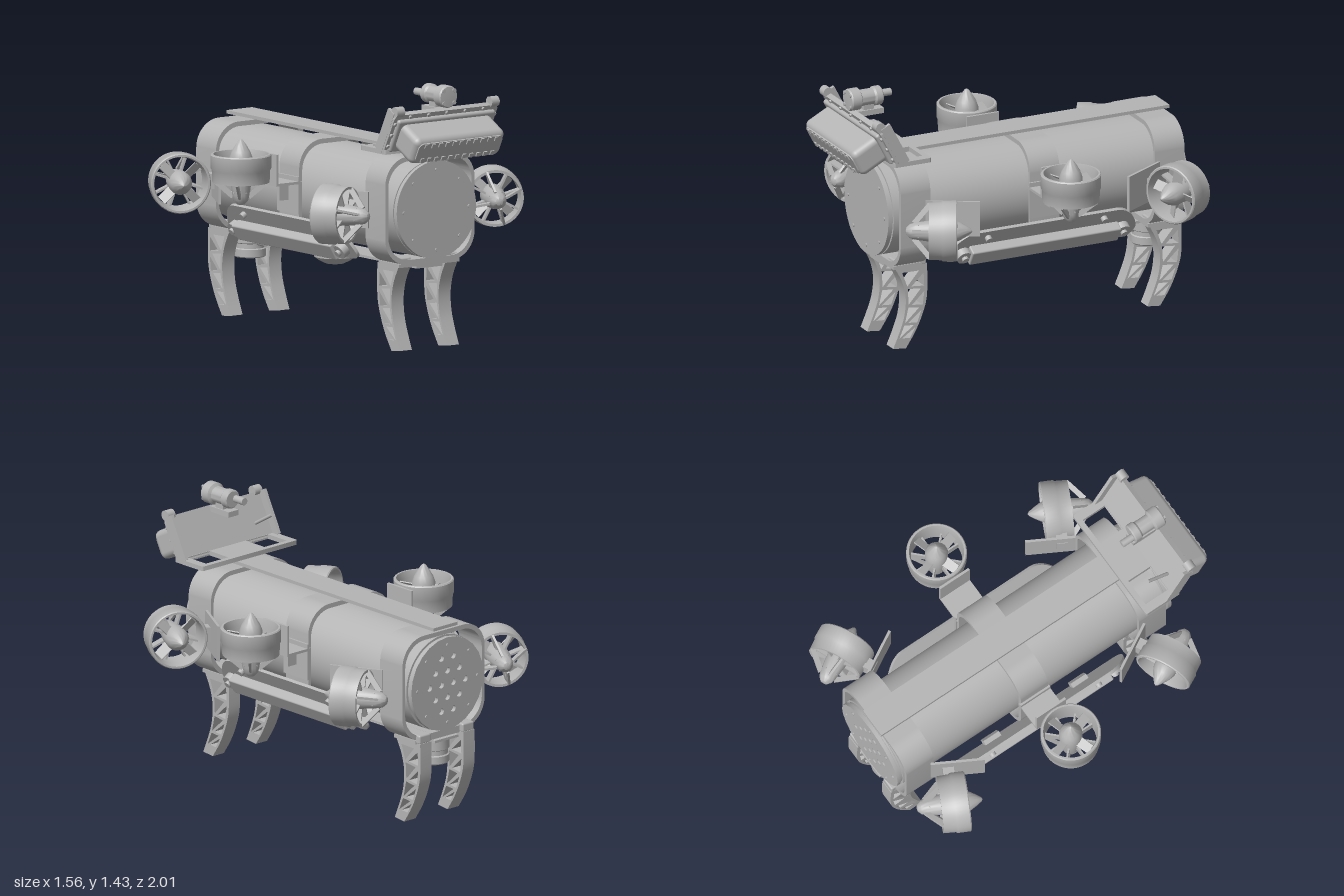
import * as THREE from 'three';
import { toCreasedNormals } from 'three/addons/utils/BufferGeometryUtils.js';
import { RoundedBoxGeometry } from 'three/addons/geometries/RoundedBoxGeometry.js';

const grey = new THREE.MeshStandardMaterial({ color: 0xb4b4b4 });
grey.name = 'plain grey';
const V = (x, y, z) => new THREE.Vector3(x, y, z);
const UP = V(0, 1, 0);

function add(parent, name, geo, x = 0, y = 0, z = 0) {
  const m = new THREE.Mesh(geo, grey);
  m.name = name;
  m.position.set(x, y, z);
  parent.add(m);
  return m;
}
const box = (p, name, w, h, d, x, y, z) => add(p, name, new THREE.BoxGeometry(w, h, d), x, y, z);
const cyl = (r, h, n = 32, r2 = r) => new THREE.CylinderGeometry(r, r2, h, n);
const cylZ = (r, h, n = 32, r2 = r) => cyl(r, h, n, r2).rotateX(Math.PI / 2);
const lathe = (pts, n = 40) =>
  toCreasedNormals(new THREE.LatheGeometry(pts.map(p => new THREE.Vector2(...p)), n), 0.6);
const extrude = (shape, depth) =>
  toCreasedNormals(new THREE.ExtrudeGeometry(shape, { depth, bevelEnabled: false, curveSegments: 12 }), 0.5);
function rod(p, name, a, b, r) {
  const m = add(p, name, cyl(r, a.distanceTo(b), 10));
  m.position.copy(a).add(b).multiplyScalar(0.5);
  m.quaternion.setFromUnitVectors(UP, b.clone().sub(a).normalize());
}
function roundRect(path, w, h, r) {
  const x = w / 2 - r, y = h / 2 - r, q = Math.PI / 2;
  path.absarc(x, y, r, 0, q).absarc(-x, y, r, q, 2 * q);
  path.absarc(-x, -y, r, 2 * q, 3 * q).absarc(x, -y, r, 3 * q, 4 * q);
  path.closePath();
  return path;
}
function circleHole(x, y, r) {
  return new THREE.Path().absarc(x, y, r, 0, Math.PI * 2, true);
}

// Ducted thruster; the pointed nose faces local +y
function thruster(parent, name, pos, dir) {
  const g = new THREE.Group();
  g.name = name;
  add(g, 'duct', lathe([[0.138, -0.075], [0.152, -0.075], [0.155, -0.01], [0.161, 0], [0.161, 0.07],
    [0.156, 0.076], [0.146, 0.076], [0.138, 0.04], [0.138, -0.075]], 48));
  add(g, 'hub', lathe([[0, -0.2], [0.02, -0.195], [0.038, -0.175], [0.046, -0.145], [0.058, -0.06], [0.062, -0.02],
    [0.062, 0.055], [0.05, 0.088], [0.03, 0.122], [0.012, 0.148], [0, 0.156]], 28));
  for (let i = 0; i < 8; i++) {
    const a = i * Math.PI / 4, c = Math.cos(a), s = Math.sin(a);
    const vane = box(g, 'vane', 0.09, 0.05, 0.01, c * 0.098, -0.04, s * 0.098);
    vane.rotation.y = -a;
    if (i % 2) {
      const strut = new THREE.Shape([[0.15, -0.05], [0.15, -0.08], [0.05, -0.165], [0.035, -0.14], [0.13, -0.06]]
        .map(p => new THREE.Vector2(...p)));
      add(g, 'strut', extrude(strut, 0.012).translate(0, 0, -0.006)).rotation.y = -a;
    }
    add(g, 'hubScrew', cyl(0.005, 0.006, 8), c * 0.047, -0.13, s * 0.047)
      .quaternion.setFromUnitVectors(UP, V(c, 0, s));
  }
  // Propeller blades
  for (let i = 0; i < 4; i++) {
    const arm = new THREE.Group();
    arm.name = 'propellerBlade';
    arm.rotation.y = i * Math.PI / 2 + 0.3;
    box(arm, 'blade', 0.078, 0.006, 0.055, 0.095, 0.025, 0).rotation.x = 0.6;
    g.add(arm);
  }
  g.position.copy(pos);
  g.quaternion.setFromUnitVectors(UP, dir.clone().normalize());
  parent.add(g);
}

// Curved leg with triangular cut-outs, drawn in the z-y plane
function legGeometry() {
  const curve = pts => new THREE.CatmullRomCurve3(pts.map(([z, y]) => V(z, y, 0)));
  const front = curve([[0.7, 0.46], [0.655, 0.37], [0.636, 0.28], [0.645, 0.18], [0.675, 0.09], [0.71, 0.008]]);
  const back = curve([[0.51, 0.46], [0.508, 0.36], [0.513, 0.26], [0.54, 0.17], [0.58, 0.085], [0.635, 0]]);
  const P = (t, u) => {
    const p = front.getPoint(t).lerp(back.getPoint(t), u);
    return new THREE.Vector2(p.x, p.y);
  };
  const shape = new THREE.Shape([...front.getPoints(20), ...back.getPoints(20).reverse()]
    .map(p => new THREE.Vector2(p.x, p.y)));
  const levels = [0.07, 0.28, 0.5, 0.71, 0.9];
  for (let i = 0; i < 4; i++) {
    const a = levels[i], b = levels[i + 1] - 0.03;
    shape.holes.push(new THREE.Path([P(a, 0.15), P(a, 0.72), P(b, 0.15)]));
    shape.holes.push(new THREE.Path([P(a + 0.03, 0.87), P(b, 0.87), P(b, 0.33)]));
  }
  return extrude(shape, 0.08).rotateY(-Math.PI / 2).translate(0.04, 0, 0);
}

export function createModel() {
  const root = new THREE.Group();
  root.name = 'underwaterVehicle';
  const HY = 0.757;

  // Hull with end flanges
  add(root, 'hull', cylZ(0.262, 1.7, 64), 0, HY, -0.11);
  for (const z of [0.735, -0.955]) add(root, 'flange', cylZ(0.25, 0.03, 64), 0, HY, z);
  add(root, 'frontCap', cylZ(0.262, 0.024, 64), 0, HY, 0.76);
  for (let i = 0; i < 8; i++) {
    const a = i * Math.PI / 4, x = 0.215 * Math.cos(a), y = HY + 0.215 * Math.sin(a);
    add(root, 'capBolt', cylZ(0.009, 0.008, 12), x, y, 0.774);
    add(root, 'capBolt', cylZ(0.009, 0.008, 12), x, y, -0.998);
  }
  const cap = new THREE.Shape().absarc(0, 0, 0.258, 0, Math.PI * 2);
  [2, 3, 4, 3, 2].forEach((n, row) => {
    for (let i = 0; i < n; i++) cap.holes.push(circleHole((i - (n - 1) / 2) * 0.085, (row - 2) * 0.074, 0.018));
  });
  add(root, 'rearCap', extrude(cap, 0.022), 0, HY, -0.995);

  // Rounded square clamps round the hull
  for (const z of [0.54, -0.225, -0.965]) {
    const clamp = roundRect(new THREE.Shape(), 0.59, 0.58, 0.15);
    clamp.holes.push(roundRect(new THREE.Path(), 0.55, 0.53, 0.135));
    add(root, 'clamp', extrude(clamp, 0.175), 0, HY, z);
  }
  box(root, 'topRail', 0.17, 0.018, 1.71, 0, 1.07, -0.125);
  box(root, 'bottomRail', 0.17, 0.014, 1.7, 0, 0.447, -0.14);

  // Legs
  const legGeo = legGeometry();
  for (const dz of [0, -1.505]) {
    box(root, 'legCrossPlate', 0.4, 0.02, 0.17, 0, 0.463, 0.625 + dz);
    for (const s of [-1, 1]) {
      add(root, 'leg', legGeo, s * 0.155, 0, dz);
      add(root, 'legCap', new RoundedBoxGeometry(0.082, 0.05, 0.19, 2, 0.01), s * 0.155, 0.48, 0.608 + dz);
    }
  }

  // Thrusters and their mounts
  for (const s of [-1, 1]) {
    thruster(root, 'verticalThruster', V(s * 0.62, 0.925, -0.13), UP);
    box(root, 'verticalMountPlate', 0.014, 0.17, 0.19, s * 0.445, 0.905, -0.137);
    box(root, 'verticalMountShelf', 0.17, 0.014, 0.19, s * 0.367, 0.826, -0.137);
    box(root, 'verticalMountBase', 0.014, 0.2, 0.19, s * 0.3, 0.757, -0.137);
    box(root, 'verticalMountWeb', 0.07, 0.1, 0.014, s * 0.33, 0.775, -0.137);
    box(root, 'thrusterBlock', 0.03, 0.07, 0.06, s * 0.46, 0.92, -0.137);
    for (const f of [1, -1]) {
      const z = v => (f > 0 ? v : -0.24 - v);
      const name = f > 0 ? 'frontThruster' : 'rearThruster';
      thruster(root, name, V(s * 0.52, 0.755, z(0.577)), V(s * 0.45, 0, f * -0.89));
      const angle = Math.atan2(s * 0.14, f * -0.25);
      box(root, name + 'MountPlate', 0.014, 0.195, 0.29, s * 0.37, 0.757, z(0.445)).rotation.y = angle;
      box(root, name + 'Block', 0.06, 0.08, 0.06, s * 0.362, 0.757, z(0.5)).rotation.y = angle;
    }
  }

  // Tilted side plates carrying long lamp bars
  const d = V(0.52, 0.854, 0), n = V(0.854, -0.52, 0);
  const plate = new THREE.Shape();
  plate.moveTo(-0.5, 0).lineTo(0.5, 0);
  plate.quadraticCurveTo(0.565, 0, 0.56, 0.05).quadraticCurveTo(0.55, 0.1, 0.52, 0.14);
  plate.quadraticCurveTo(0.47, 0.21, 0.41, 0.21).lineTo(-0.41, 0.21);
  plate.quadraticCurveTo(-0.47, 0.21, -0.52, 0.14).quadraticCurveTo(-0.55, 0.1, -0.56, 0.05);
  plate.quadraticCurveTo(-0.565, 0, -0.5, 0);
  for (const s of [1, -1]) {
    const side = new THREE.Group(), pod = new THREE.Group();
    side.name = 'lampRack';
    pod.name = 'lampPod';
    pod.quaternion.setFromRotationMatrix(new THREE.Matrix4().makeBasis(V(0, 0, -1), d, n));
    pod.position.set(0.25, 0.48, 0);
    add(pod, 'podPlate', extrude(plate, 0.018));
    add(pod, 'lampBar', new RoundedBoxGeometry(0.88, 0.095, 0.06, 2, 0.008), 0, 0.067, 0.045);
    for (const x of [-0.47, 0.47]) {
      add(pod, 'lampEnd', cylZ(0.042, 0.045, 24), x, 0.065, 0.035);
      add(pod, 'lampBolt', cylZ(0.018, 0.02, 16), x, 0.065, 0.065);
      add(pod, 'plateBolt', cylZ(0.018, 0.03, 16), x * 0.73, 0.165, 0.03);
      box(pod, 'podBracket', 0.1, 0.05, 0.03, x * 0.6, 0.05, -0.012);
    }
    side.add(pod);
    side.rotation.y = s > 0 ? 0 : Math.PI;
    side.position.z = -0.115;
    root.add(side);
  }

  // Sensors under the hull
  add(root, 'bellySensor', lathe([[0, 0.355], [0.05, 0.358], [0.085, 0.375], [0.112, 0.395], [0.112, 0.43],
    [0.1, 0.445], [0, 0.445]], 32), 0, 0, -0.13);
  add(root, 'bellyConnector', cylZ(0.016, 0.04, 16), 0, 0.4, -0.24);
  add(root, 'rearSensor', lathe([[0, 0.3], [0.08, 0.3], [0.085, 0.306], [0.085, 0.345], [0.078, 0.35],
    [0.078, 0.375], [0.085, 0.38], [0.085, 0.442], [0, 0.442]], 32), 0, 0, -0.885);
  add(root, 'rearSensorConnector', cylZ(0.018, 0.08, 16), 0, 0.385, -0.785);

  // Head: shelf with two openings
  const shelf = roundRect(new THREE.Shape(), 0.68, 0.22, 0.01);
  for (const s of [-1, 1]) {
    const hole = new THREE.Path([[0.13, -0.065], [0.29, -0.065], [0.29, 0.08], [0.13, 0.08]]
      .map(([x, y]) => new THREE.Vector2(s * x, y)));
    shelf.holes.push(hole);
  }
  add(root, 'headShelf', extrude(shelf, 0.025).rotateX(-Math.PI / 2), 0, 1.082, 0.665);

  // Tilted back plate and imaging box
  const head = new THREE.Group();
  head.name = 'tiltedHead';
  head.position.set(0, 1.19, 0.81);
  head.rotation.x = 0.48;
  root.add(head);
  add(head, 'backPlate', extrude(roundRect(new THREE.Shape(), 0.68, 0.25, 0.03), 0.03), 0, 0, -0.03);
  add(head, 'boxCollar', new RoundedBoxGeometry(0.64, 0.2, 0.03, 3, 0.014), 0, 0, 0.008);
  add(head, 'imagingBox', new RoundedBoxGeometry(0.59, 0.158, 0.185, 4, 0.035), 0, 0, 0.088);
  add(head, 'imagingFace', extrude(roundRect(new THREE.Shape(), 0.55, 0.12, 0.03), 0.008), 0, 0, 0.176);
  for (let i = 0; i < 11; i++) {
    for (const y of [-0.045, 0.045]) box(head, 'faceTooth', 0.022, 0.025, 0.008, (i - 5) * 0.046, y, 0.187);
    if (i % 2) add(head, 'plateBolt', cylZ(0.009, 0.01, 10), (i - 5) * 0.06, 0.112, 0.005);
  }
  for (const s of [-1, 1]) {
    box(head, 'sideFlange', 0.018, 0.25, 0.06, s * 0.332, 0, -0.045);
    add(head, 'ear', cyl(0.028, 0.05, 20).rotateZ(Math.PI / 2), s * 0.312, 0.135, -0.02);
    for (const y of [-0.07, 0, 0.07]) add(head, 'plateBolt', cylZ(0.01, 0.01, 10), s * 0.327, y, 0.005);
  }
  rod(root, 'sidePin', V(-0.235, 1.16, 0.79), V(-0.235, 1.25, 0.64), 0.009);

  // Camera on its bracket
  box(root, 'cameraArm', 0.07, 0.03, 0.15, 0, 1.297, 0.76);
  box(root, 'cameraPost', 0.05, 0.05, 0.06, 0, 1.325, 0.77);
  const camera = lathe([[0, -0.095], [0.045, -0.095], [0.052, -0.088], [0.052, -0.055], [0.044, -0.045],
    [0.044, 0.03], [0.06, 0.04], [0.06, 0.09], [0.054, 0.098], [0, 0.102]], 32).rotateX(Math.PI / 2);
  add(root, 'camera', camera, 0, 1.375, 0.785);
  add(root, 'cameraConnector', cylZ(0.02, 0.08, 16), -0.02, 1.375, 0.66);
  for (let i = 0; i < 4; i++) {
    const a = (i + 0.5) * Math.PI / 2;
    add(root, 'cameraScrew', cylZ(0.011, 0.01, 10), 0.047 * Math.cos(a), 1.375 + 0.047 * Math.sin(a), 0.885);
  }
  return root;
}
